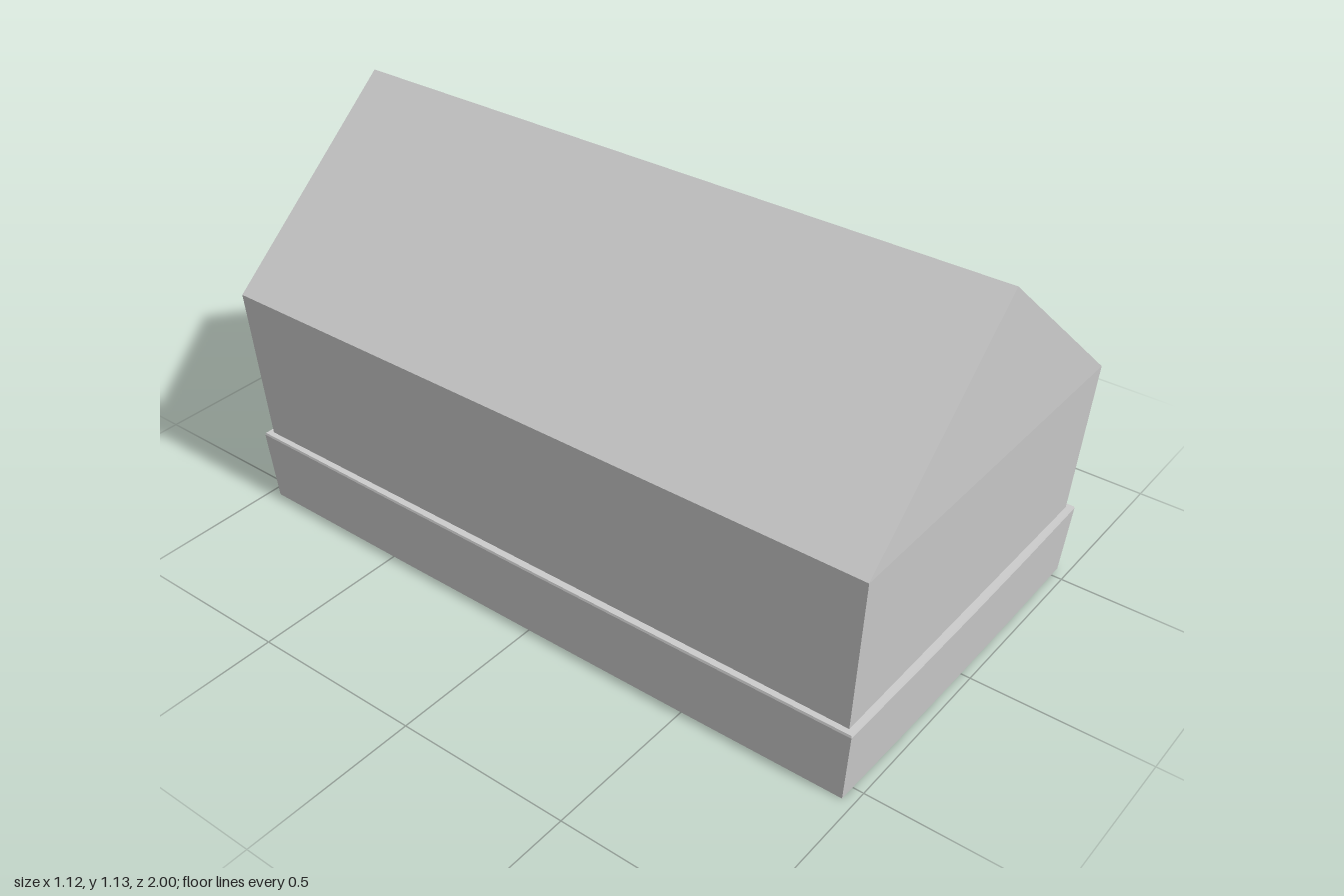
import * as THREE from 'three';

const EAVES = 0.66, RIDGE = 1.135;
const material = new THREE.MeshStandardMaterial({ color: 0xcccccc, flatShading: true });

// Walls lean outwards towards the eaves: half width and half length at height y
const halfX = y => 0.525 + 0.026 * y / EAVES;
const halfZ = y => 0.955 + 0.045 * y / EAVES;

function addMesh(parent, name, geometry) {
  const mesh = new THREE.Mesh(geometry, material);
  mesh.name = name;
  parent.add(mesh);
}

// Flat-shaded geometry from convex polygons, corners counter-clockwise from outside
function polygons(faces) {
  const pos = [];
  for (const f of faces)
    for (let i = 1; i < f.length - 1; i++) pos.push(...f[0], ...f[i], ...f[i + 1]);
  const g = new THREE.BufferGeometry();
  g.setAttribute('position', new THREE.Float32BufferAttribute(pos, 3));
  g.computeVertexNormals();
  return g;
}

const shapeOf = pts => new THREE.Shape(pts.map(p => new THREE.Vector2(...p)));

// Lay a drawing (across, up, depth) onto the leaning left wall
function ontoWall(geometry, offset) {
  geometry.rotateY(Math.PI / 2);
  const p = geometry.attributes.position;
  for (let i = 0; i < p.count; i++) p.setX(i, p.getX(i) + halfX(p.getY(i)) + offset);
  geometry.computeVertexNormals();
  return geometry;
}

export function createModel() {
  const group = new THREE.Group();
  group.name = 'house';
  const house = new THREE.Group();
  house.name = 'building';
  house.position.x = -0.004;
  group.add(house);

  // Shell corners
  const corner = (sx, sz, y) => [sx * halfX(y), y, sz * halfZ(y)];
  const ridge = sz => [0, RIDGE, sz * halfZ(EAVES)];
  const E = EAVES;

  addMesh(house, 'roof', polygons([
    [corner(1, 1, E), corner(1, -1, E), ridge(-1), ridge(1)],
    [corner(-1, -1, E), corner(-1, 1, E), ridge(1), ridge(-1)],
  ]));
  addMesh(house, 'gables', polygons([
    [corner(-1, 1, E), corner(1, 1, E), ridge(1)],
    [corner(1, -1, E), corner(-1, -1, E), ridge(-1)],
  ]));
  addMesh(house, 'walls', polygons([
    [corner(-1, 1, 0), corner(1, 1, 0), corner(1, 1, E), corner(-1, 1, E)],
    [corner(1, -1, 0), corner(-1, -1, 0), corner(-1, -1, E), corner(1, -1, E)],
    [corner(-1, -1, 0), corner(-1, 1, 0), corner(-1, 1, E), corner(-1, -1, E)],
  ]));
  addMesh(house, 'floor', polygons([
    [corner(-1, -1, 0), corner(1, -1, 0), corner(1, 1, 0), corner(-1, 1, 0)],
  ]));

  // Wall with the door opening
  const opening = [[-0.128, 0.12], [0.128, 0.12], [0.138, 0.595], [-0.138, 0.595]];
  const doorWall = shapeOf([
    [-halfZ(0), 0], [halfZ(0), 0], [halfZ(E), E], [-halfZ(E), E]]);
  doorWall.holes.push(shapeOf(opening));
  addMesh(house, 'doorWall', ontoWall(new THREE.ShapeGeometry(doorWall), 0));

  // Door: raised surround with a recessed panel
  const surround = shapeOf([[-0.16, 0.025], [0.16, 0.025], [0.168, 0.642], [-0.168, 0.642]]);
  surround.holes.push(shapeOf(opening));
  const depth = 0.04;
  addMesh(house, 'doorFrame', ontoWall(
    new THREE.ExtrudeGeometry(surround, { depth, bevelEnabled: false }), 0.01 - depth));
  addMesh(house, 'doorPanel', ontoWall(new THREE.ShapeGeometry(shapeOf(opening)), 0.011 - depth));

  // Plinth: slightly bowed band swept round the house, open at the door
  const gap = 0.185;
  const plan = [[1, -0.5], [1, -1], [0.5, -1], [0, -1], [-0.5, -1], [-1, -1], [-1, -0.5],
    [-1, 0], [-1, 0.5], [-1, 1], [-0.5, 1], [0, 1], [0.5, 1], [1, 1], [1, 0.5]];
  const row = (hx, hz, y, bow) => {
    const pts = [[1, -gap / hz], ...plan, [1, gap / hz]];
    return pts.map(([u, v]) => [
      u * hx + (Math.abs(u) === 1 ? u * bow * (1 - v * v) : 0), y,
      v * hz + (Math.abs(v) === 1 ? v * bow * (1 - u * u) : 0)]);
  };
  const rows = [
    row(halfX(0), halfZ(0), 0, 0),
    row(0.541, 0.969, 0, 0.004),
    row(0.551, 0.987, 0.207, 0.004),
    row(0.549, 0.985, 0.213, 0.004),
    row(halfX(0.213), halfZ(0.213), 0.213, 0),
  ];
  const faces = [];
  for (let k = 0; k < rows.length - 1; k++)
    for (let i = 0; i < rows[k].length - 1; i++)
      faces.push([rows[k][i], rows[k][i + 1], rows[k + 1][i + 1], rows[k + 1][i]]);
  faces.push(rows.map(r => r[0]), rows.map(r => r[r.length - 1]).reverse());
  addMesh(house, 'plinth', polygons(faces));

  return group;
}
